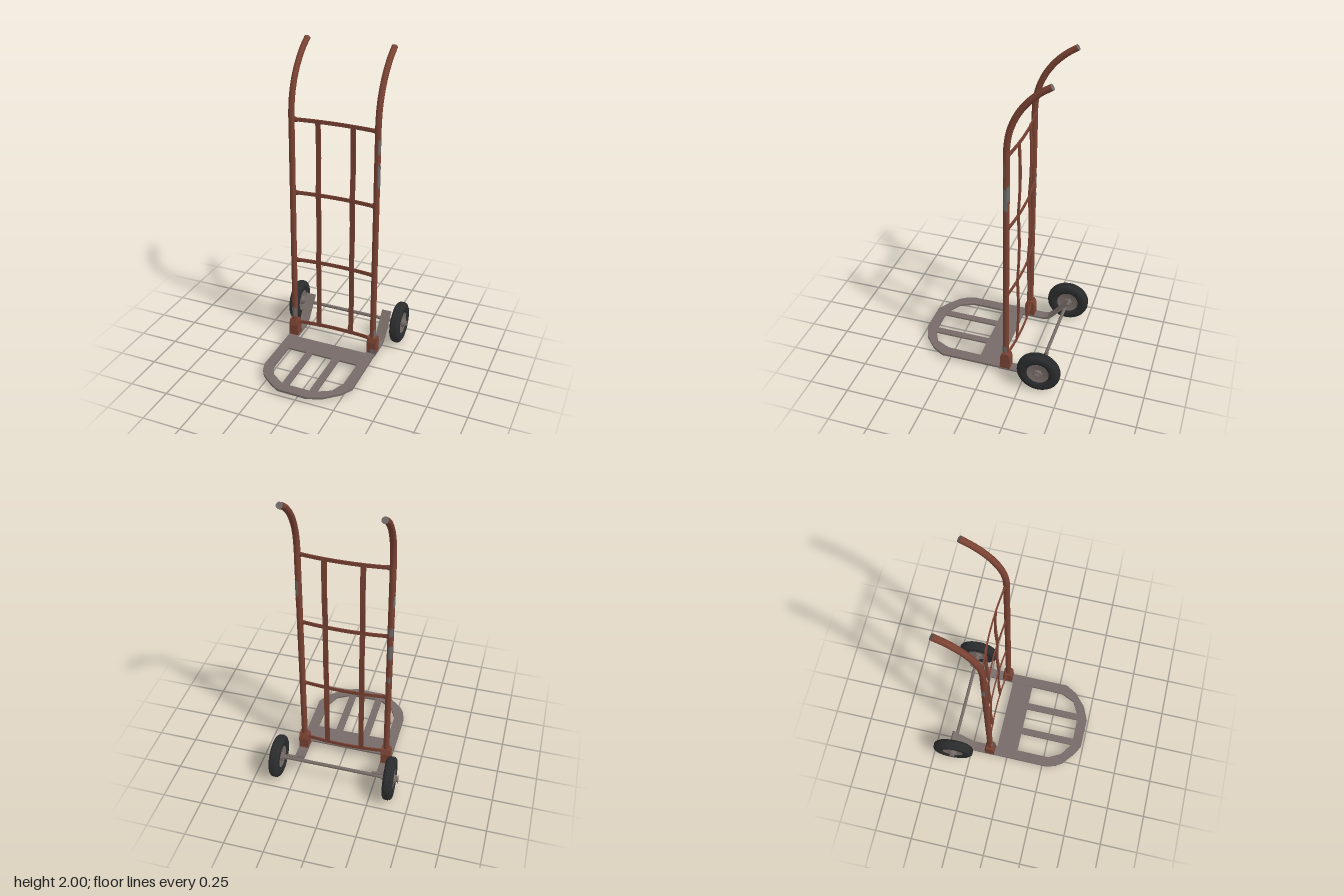
import * as THREE from 'three';
import { toCreasedNormals } from 'three/addons/utils/BufferGeometryUtils.js';

const mat = (name, color) => {
  const m = new THREE.MeshStandardMaterial({ color });
  m.name = name;
  return m;
};

export function createModel() {
  const root = new THREE.Group();
  root.name = 'handTruck';
  const rust = mat('rust red paint', 0x7a4233);
  const steel = mat('warm grey steel', 0x766b67);
  const worn = mat('worn bare metal', 0x6d6a69);
  const rubber = mat('black rubber', 0x2b2c2d);

  const add = (name, geo, material, parent = root) => {
    const mesh = new THREE.Mesh(geo, material);
    mesh.name = name;
    parent.add(mesh);
    return mesh;
  };
  const shapeOf = (pts) => new THREE.Shape(pts.map(([a, b]) => new THREE.Vector2(a, b)));
  const extrude = (shape, depth) =>
    new THREE.ExtrudeGeometry(shape, { depth, bevelEnabled: false });
  // Outline given as [x, z], raised from y0 by height
  const flat = (pts, y0, height) =>
    extrude(shapeOf(pts.map(([x, z]) => [x, -z])), height).rotateX(-Math.PI / 2).translate(0, y0, 0);
  // Outline given as [z, y], widened along x around a centre
  const profile = (pts, x, width) =>
    extrude(shapeOf(pts.map(([z, y]) => [-z, y])), width).rotateY(Math.PI / 2).translate(x - width / 2, 0, 0);
  // Thicken an open 2D path into a closed outline
  const thicken = (pts, t) => {
    const side = (s) => pts.map((p, i) => {
      const a = pts[Math.max(i - 1, 0)], b = pts[Math.min(i + 1, pts.length - 1)];
      const dx = b[0] - a[0], dy = b[1] - a[1], l = Math.hypot(dx, dy);
      return [p[0] - (dy / l) * s, p[1] + (dx / l) * s];
    });
    return [...side(t / 2), ...side(-t / 2).reverse()];
  };

  const cx = -0.01, half = 0.275, tubeR = 0.019, postZ = -0.12;
  const posts = [cx - half, cx + half];

  // Uprights with swept-back handles
  posts.forEach((x, i) => {
    const side = i ? 'left' : 'right';
    const pts = [[0.05, -0.12], [0.5, -0.12], [1.0, -0.12], [1.45, -0.12], [1.6, -0.121], [1.7, -0.137],
      [1.8, -0.178], [1.88, -0.235], [1.94, -0.298], [1.983, -0.362]].map(([y, z]) => new THREE.Vector3(x, y, z));
    const curve = new THREE.CatmullRomCurve3(pts, false, 'centripetal');
    add(side + 'Upright', new THREE.TubeGeometry(curve, 64, tubeR, 14), rust);
    const cap = add(side + 'HandleEnd', new THREE.CircleGeometry(tubeR, 14), worn);
    cap.position.copy(curve.getPoint(1));
    cap.lookAt(curve.getPoint(1).add(curve.getTangent(1)));

    // Socket at the foot of the upright
    add(side + 'Socket', profile([[-0.09, 0.022], [-0.09, 0.11], [-0.1, 0.145], [-0.142, 0.145],
      [-0.154, 0.11], [-0.154, 0.022]], x, 0.06), rust);

    // Rear arm bending up to the axle
    add(side + 'AxleArm', profile(thicken([[-0.085, 0.028], [-0.22, 0.028], [-0.25, 0.035], [-0.28, 0.062],
      [-0.385, 0.188]], 0.012), x, 0.063), steel);
  });

  // Chipped paint: [post, bottom, top, facing angle, sweep]
  [[1, 1.2, 1.34, 1.4, 1.7], [1, 1.26, 1.36, 2.6, 1.4], [1, 1.41, 1.5, 0.9, 0.9], [1, 0.15, 0.2, 1.3, 1.6],
    [0, 0.17, 0.24, 0, 1.8], [0, 1.07, 1.13, 3.3, 1.4], [0, 0.9, 1.0, 3.5, 1.5], [0, 0.72, 0.76, 3.2, 1.2],
    [0, 1.28, 1.36, 4.5, 1.3]]
    .forEach(([p, y0, y1, a, w], i) => {
      const g = new THREE.CylinderGeometry(tubeR + 0.001, tubeR + 0.001, y1 - y0, 8, 4, true, a - w / 2, w);
      // Slant the patch so its edges look ragged
      const pos = g.attributes.position;
      for (let k = 0; k < pos.count; k++) pos.setY(k, pos.getY(k) + 0.012 * Math.sin(k * 2.3 + i));
      add('paintChip', g, worn).position.set(posts[p], (y0 + y1) / 2, postZ);
    });
  add('socketChip', new THREE.BoxGeometry(0.035, 0.04, 0.002), worn).position.set(0.277, 0.045, -0.0895);

  // Bowed cross bars with flared ends
  [0.122, 0.592, 1.067, 1.545].forEach((y) => {
    const path = [];
    for (let i = 0; i <= 12; i++) {
      const t = i / 6 - 1;
      path.push([cx + t * (half - 0.01), -0.127 - 0.018 * (1 - t * t)]);
    }
    add('crossBar', flat(thicken(path, 0.007), y - 0.012, 0.024), rust);
    posts.forEach((x, i) => {
      const s = i ? -1 : 1;
      const g = new THREE.CylinderGeometry(0.012, 0.019, 0.025, 8).rotateZ(-s * Math.PI / 2);
      g.scale(1, 1, 0.4);
      add('barWeld', g, rust).position.set(x + s * 0.029, y, -0.129);
    });
  });

  // Vertical slats, gently bulging between the bars
  [-0.123, 0.102].forEach((x) => {
    const path = [];
    for (let i = 0; i <= 24; i++) {
      const y = 0.11 + (i / 24) * 1.445;
      path.push([-0.141 - 0.009 * Math.abs(Math.sin((i / 24) * Math.PI * 3)), y]);
    }
    add('backSlat', profile(thicken(path, 0.009), x, 0.031), rust);
  });

  // Toe plate: U-shaped rim, cross plate and two slats
  add('toeRim', flat([[-0.315, -0.09], [-0.315, 0.28], [-0.297, 0.34], [-0.268, 0.385], [-0.195, 0.445], [-0.125, 0.487],
    [0.07, 0.49], [0.165, 0.45], [0.25, 0.375], [0.293, 0.3], [0.293, -0.09], [0.23, -0.09], [0.225, 0.28],
    [0.185, 0.37], [0.09, 0.422], [-0.12, 0.422], [-0.208, 0.362], [-0.25, 0.28], [-0.25, -0.09]], 0.022, 0.014), steel);
  const plate = (name, x0, x1, z0, z1) =>
    add(name, new THREE.BoxGeometry(x1 - x0, 0.01, z1 - z0), steel).position.set((x0 + x1) / 2, 0.029, (z0 + z1) / 2);
  plate('toeCrossPlate', -0.255, 0.23, -0.08, 0.062);
  plate('toeSlat', -0.127, -0.081, 0.06, 0.425);
  plate('toeSlat', 0.058, 0.104, 0.06, 0.425);

  // Axle
  const axleY = 0.137, axleZ = -0.361;
  add('axle', new THREE.CylinderGeometry(0.011, 0.011, 0.83, 12).rotateZ(Math.PI / 2), steel)
    .position.set(0, axleY, axleZ);

  // Wheels: grooved tyre, rim, hub, washer and nut
  const lathe = (pts, seg) => toCreasedNormals(
    new THREE.LatheGeometry(pts.map(([r, a]) => new THREE.Vector2(r, a)), seg).rotateZ(-Math.PI / 2), 0.6);
  const tyre = [[0.066, -0.02], [0.075, -0.028], [0.1, -0.033], [0.118, -0.031], [0.128, -0.025], [0.134, -0.017],
    [0.13, -0.015], [0.13, -0.012], [0.136, -0.01], [0.136, -0.003], [0.131, -0.002]];
  const tyreProfile = [...tyre, ...tyre.map(([r, a]) => [r, -a]).reverse()];
  [-1, 1].forEach((s) => {
    const wheel = new THREE.Group();
    wheel.name = s > 0 ? 'leftWheel' : 'rightWheel';
    wheel.position.set(s * 0.363, axleY, axleZ);
    wheel.rotation.y = s > 0 ? 0.02 : 0.06;
    root.add(wheel);
    add('tyre', lathe(tyreProfile, 28), rubber, wheel);
    add('rim', lathe([[0, -0.02], [0.055, -0.02], [0.07, -0.025], [0.07, 0.025], [0.055, 0.02], [0, 0.02]], 16), steel, wheel);
    const disc = (name, r, w, x, seg) =>
      add(name, new THREE.CylinderGeometry(r, r, w, seg).rotateZ(Math.PI / 2), steel, wheel).position.x = x * s;
    disc('hub', 0.028, 0.074, 0, 14);
    disc('washer', 0.024, 0.005, 0.039, 14);
    disc('axleNut', 0.017, 0.013, 0.046, 6);
    disc('innerCollar', 0.016, 0.02, -0.044, 12);
    const pin = add('axlePin', new THREE.CylinderGeometry(0.003, 0.003, 0.05, 6), steel, wheel);
    pin.position.x = s * 0.052;
    pin.rotation.x = 0.6;
  });

  return root;
}
